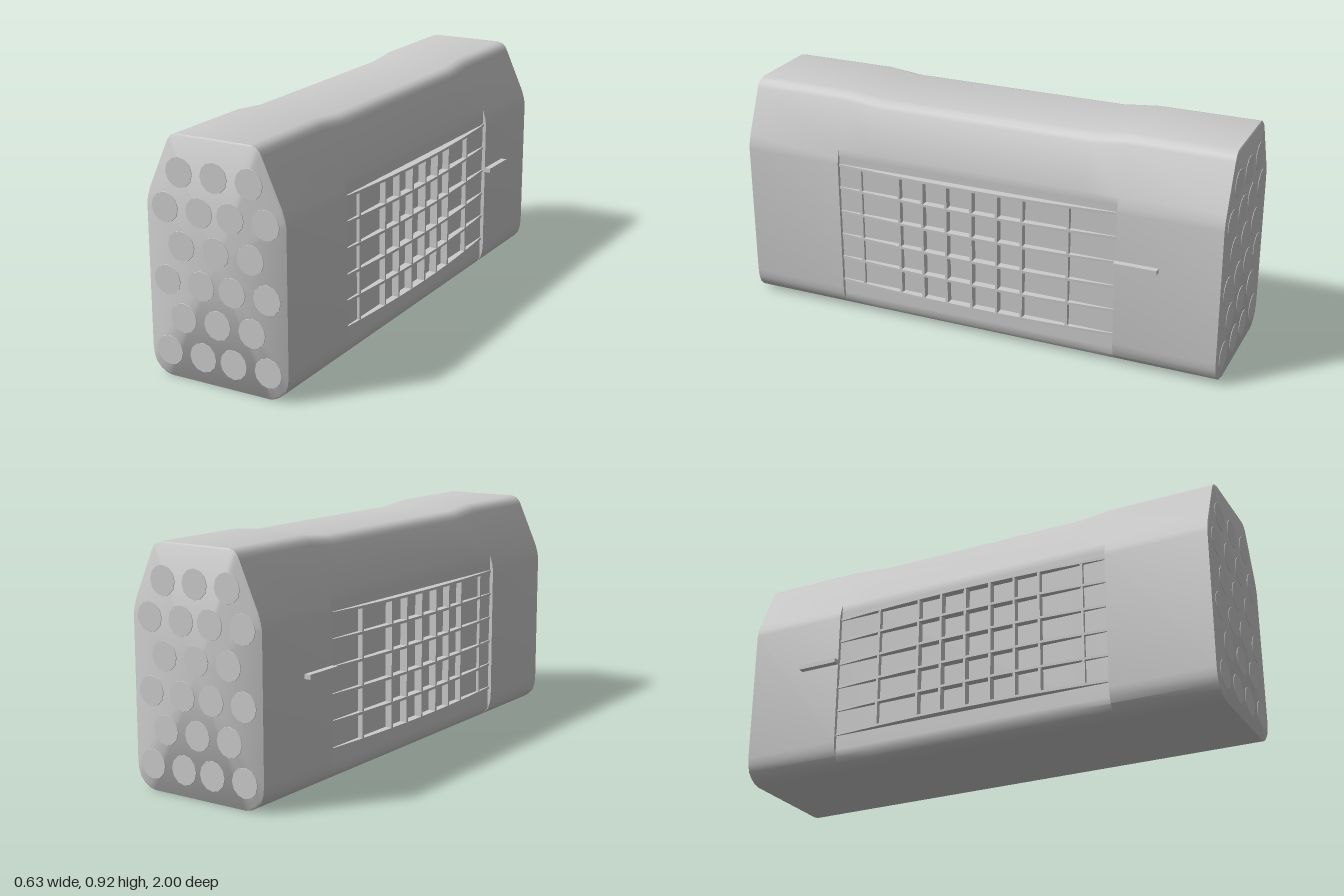
import * as THREE from 'three';
import { toCreasedNormals } from 'three/addons/utils/BufferGeometryUtils.js';

const mat = new THREE.MeshStandardMaterial({ color: 0xcccccc });

// Right half of the hull cross-section, bottom to top
const half = [[0.21, 0], [0.235, 0.006], [0.258, 0.02], [0.278, 0.042], [0.287, 0.07], [0.29, 0.1],
  [0.29, 0.645], [0.286, 0.67], [0.275, 0.705], [0.196, 0.88], [0.188, 0.895], [0.175, 0.908], [0.152, 0.915]];
const profile = [...half, ...half.slice().reverse().map(([x, y]) => [-x, y])];

// Hull stations: z, corner inset, side limit, drop of the roof
const front = [[0.44, 0, 0.275, 0.015], [0.585, 0, 0.275, 0], [0.585, 0, 0.29, 0], [0.993, 0, 0.29, 0], [0.998, 0.006, 0.29, 0]];
const stations = [...front.slice().reverse().map(([z, ...r]) => [-z, ...r]), ...front];

function hullGeometry() {
  const pos = [], idx = [], n = profile.length;
  for (const [z, inset, limit, drop] of stations) {
    for (const [x, y] of profile) {
      const k = 1 - inset / 0.29;
      const px = THREE.MathUtils.clamp(x, -limit, limit) * k;
      const py = y - (y > 0.8 ? drop : 0);
      pos.push(px, 0.457 + (py - 0.457) * (1 - inset / 0.457), z);
    }
  }
  for (let s = 0; s < stations.length - 1; s++) {
    for (let i = 0; i < n; i++) {
      const j = (i + 1) % n, a = s * n + i, b = s * n + j;
      idx.push(a, b, b + n, a, b + n, a + n);
    }
  }
  // End caps
  const last = (stations.length - 1) * n, c = stations.length * n;
  pos.push(0, 0.457, -0.998, 0, 0.457, 0.998);
  for (let i = 0; i < n; i++) {
    const j = (i + 1) % n;
    idx.push(c, j, i, c + 1, last + i, last + j);
  }
  const g = new THREE.BufferGeometry();
  g.setAttribute('position', new THREE.Float32BufferAttribute(pos, 3));
  g.setIndex(idx);
  return toCreasedNormals(g, 0.7);
}

// Outer face of the bowed side grille
const bow = (z) => 0.28 + 0.028 * (1 - (z / 0.585) ** 2);

function railGeometry() {
  const pts = [new THREE.Vector2(0.265, -0.585)];
  for (let i = 0; i <= 12; i++) {
    const z = -0.585 + (1.17 * i) / 12;
    pts.push(new THREE.Vector2(bow(z), z));
  }
  pts.push(new THREE.Vector2(0.265, 0.585));
  const g = new THREE.ExtrudeGeometry(new THREE.Shape(pts), { depth: 0.01, bevelEnabled: false });
  return g.rotateX(-Math.PI / 2).translate(0, -0.005, 0);
}

export function createModel() {
  const model = new THREE.Group();
  model.name = 'launcherPod';
  const add = (parent, name, geometry, x = 0, y = 0, z = 0) => {
    const mesh = new THREE.Mesh(geometry, mat);
    mesh.name = name;
    mesh.position.set(x, y, z);
    parent.add(mesh);
    return mesh;
  };
  add(model, 'hull', hullGeometry());

  // Tube covers on both ends, in alternating rows of four and three
  const cover = new THREE.CylinderGeometry(0.056, 0.058, 0.008, 12).rotateX(Math.PI / 2);
  for (const end of [1, -1]) {
    const covers = new THREE.Group();
    covers.name = end > 0 ? 'frontTubeCovers' : 'rearTubeCovers';
    for (let row = 0; row < 6; row++) {
      const xs = row % 2 ? [-0.145, 0, 0.145] : [-0.21, -0.065, 0.065, 0.21];
      for (const x of xs) {
        const c = add(covers, 'tubeCover', cover, x, 0.1 + row * 0.1355, end * 0.996);
        if (end < 0) c.rotation.y = Math.PI;
      }
    }
    model.add(covers);
  }

  // Side grilles and rear fins
  const rail = railGeometry();
  for (const side of [1, -1]) {
    const grille = new THREE.Group();
    grille.name = side > 0 ? 'leftGrille' : 'rightGrille';
    for (const y of [0.132, 0.235, 0.336, 0.438, 0.54, 0.638]) {
      const r = add(grille, 'grilleRail', rail, 0, y, 0);
      if (side < 0) r.rotation.y = Math.PI;
    }
    for (const z of [0.487, 0.313, 0.21, 0.107, 0, -0.107, -0.21, -0.395]) {
      const depth = bow(z) - 0.001 - 0.265;
      add(grille, 'grillePost', new THREE.BoxGeometry(depth, 0.506, 0.01), side * (0.265 + depth / 2), 0.385, z);
    }
    model.add(grille);
    add(model, side > 0 ? 'leftFin' : 'rightFin', new THREE.BoxGeometry(0.045, 0.018, 0.17), side * 0.2925, 0.443, -0.67);
  }
  return model;
}
